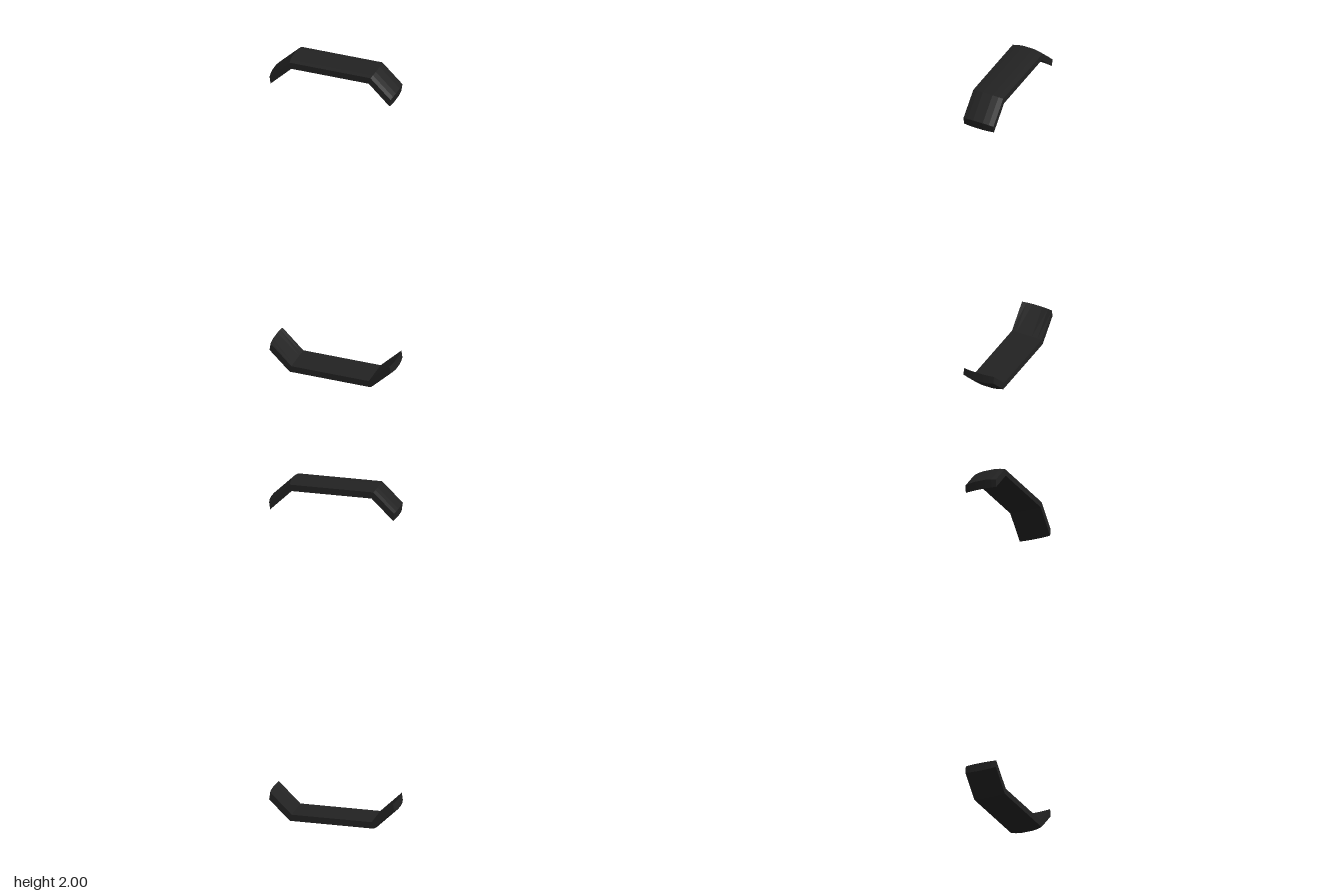
import * as THREE from 'three';

const material = new THREE.MeshStandardMaterial({ color: 0x222222, flatShading: true });

// Closed cross-section ring at one station along the strap.
// The outer face and the tips bow slightly outwards across the depth.
const depths = [-0.093, -0.066, -0.03, 0.03, 0.066, 0.093];
const bows = [0, 0.6, 1, 1, 0.6, 0];

function ring({ outer, inner, outerBow, innerBow }, side) {
  const point = ([x, y], [bx, by], i) => [side * (x + bx * bows[i]), y + by * bows[i], depths[i]];
  const top = depths.map((_, i) => point(outer, outerBow, i));
  const bottom = depths.map((_, i) => point(inner, innerBow, i)).reverse();
  return [...top, ...bottom];
}

// Bent strap: sloping arm, flat middle, sloping arm
function strapGeometry() {
  const tip = { outer: [0.358, 0.877], inner: [0.352, 0.835], outerBow: [0.008, 0.008], innerBow: [0.007, 0] };
  const bend = { outer: [0.239, 0.992], inner: [0.229, 0.955], outerBow: [0.008, 0.008], innerBow: [0, 0] };
  const rings = [ring(tip, -1), ring(bend, -1), ring(bend, 1), ring(tip, 1)];
  const n = rings[0].length;
  const index = [];
  for (let r = 0; r < rings.length - 1; r++) {
    for (let i = 0; i < n; i++) {
      const j = (i + 1) % n;
      const a = r * n + i, b = r * n + j, c = a + n, d = b + n;
      index.push(a, b, d, a, d, c);
    }
  }
  // Tip faces, as strips between the outer and inner edges
  const last = (rings.length - 1) * n;
  for (let i = 0; i < depths.length - 1; i++) {
    const k = n - 1 - i;
    index.push(i, k, k - 1, i, k - 1, i + 1);
    index.push(last + i, last + k - 1, last + k, last + i, last + i + 1, last + k - 1);
  }
  const geometry = new THREE.BufferGeometry();
  geometry.setAttribute('position', new THREE.Float32BufferAttribute(rings.flat(2), 3));
  geometry.setIndex(index);
  const flat = geometry.toNonIndexed();
  flat.computeVertexNormals();
  return flat;
}

export function createModel() {
  const model = new THREE.Group();
  model.name = 'strapPair';
  const geometry = strapGeometry();

  // Same strap twice, the lower one turned over about the middle height
  for (const [name, turn] of [['upperStrap', 0], ['lowerStrap', Math.PI]]) {
    const strap = new THREE.Mesh(geometry, material);
    strap.name = name;
    strap.position.y = 1;
    strap.rotation.z = turn;
    model.add(strap);
  }
  return model;
}
